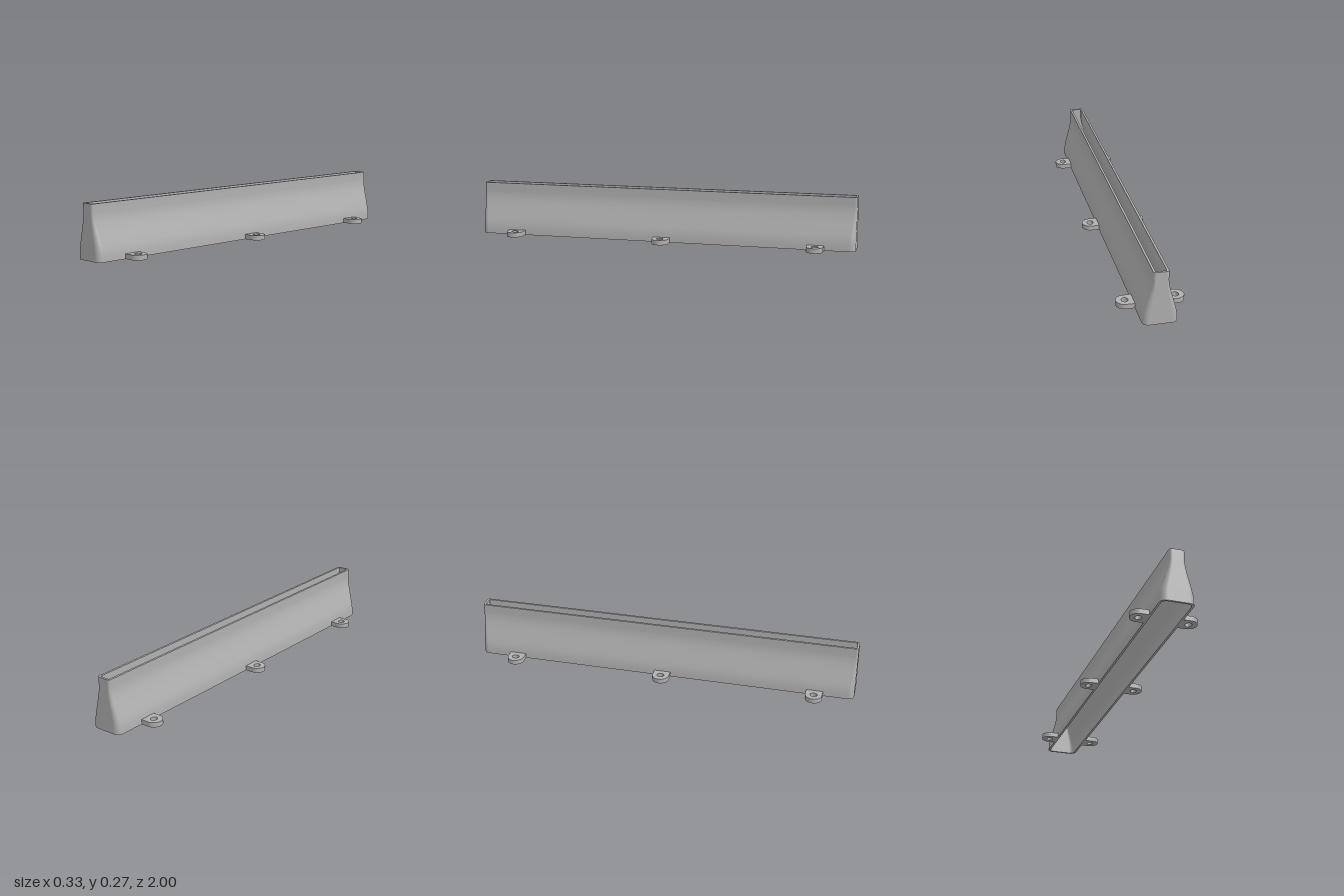
import * as THREE from 'three';

const WALL = 0.011;
const HEIGHT = 0.27;

// Half width of the duct at each height
const profile = new THREE.SplineCurve([
  [0.083, 0], [0.0815, 0.03], [0.077, 0.06], [0.066, 0.1], [0.051, 0.15],
  [0.042, 0.185], [0.038, 0.21], [0.037, 0.23], [0.037, HEIGHT],
].map(([x, y]) => new THREE.Vector2(x, y)));

// One horizontal rounded-rectangle section
function ring(halfWidth, y, inset) {
  const radius = 0.012 + 0.018 * (halfWidth - 0.037) / 0.046 - inset * 0.7;
  const cx = halfWidth - inset - radius;
  const cz = 1 - inset - radius;
  const points = [];
  [[1, 1], [-1, 1], [-1, -1], [1, -1]].forEach(([sx, sz], corner) => {
    for (let i = 0; i <= 6; i++) {
      const a = (corner + i / 6) * Math.PI / 2;
      points.push([sx * cx + radius * Math.cos(a), y, sz * cz + radius * Math.sin(a)]);
    }
  });
  return points;
}

// Skin a series of closed sections
function loft(rings) {
  const n = rings[0].length;
  const index = [];
  for (let j = 0; j < rings.length - 1; j++) {
    for (let i = 0; i < n; i++) {
      const a = j * n + i, b = j * n + (i + 1) % n;
      index.push(a, a + n, b, b, a + n, b + n);
    }
  }
  const geometry = new THREE.BufferGeometry();
  geometry.setAttribute('position', new THREE.Float32BufferAttribute(rings.flat(2), 3));
  geometry.setIndex(index);
  geometry.computeVertexNormals();
  return geometry;
}

export function createModel() {
  const model = new THREE.Group();
  model.name = 'slotDuct';
  const grey = new THREE.MeshStandardMaterial({ color: 0xb0b0b0 });
  grey.name = 'grey';

  const add = (name, geometry) => {
    const mesh = new THREE.Mesh(geometry, grey);
    mesh.name = name;
    model.add(mesh);
    return mesh;
  };

  // Hollow flared body, open at top and bottom
  const sections = profile.getPoints(32);
  const outer = sections.map(p => ring(p.x, p.y, 0));
  const inner = sections.map(p => ring(p.x, p.y, WALL)).reverse();
  add('outerWall', loft(outer));
  add('innerWall', loft(inner));
  add('topRim', loft([outer.at(-1), inner[0]]));
  add('bottomRim', loft([inner.at(-1), outer[0]]));

  // Rounded mounting tab with a screw hole
  const tab = new THREE.Shape();
  tab.moveTo(0.076, -0.043);
  tab.lineTo(0.122, -0.043);
  tab.absarc(0.122, 0, 0.043, -Math.PI / 2, Math.PI / 2, false);
  tab.lineTo(0.076, 0.043);
  tab.closePath();
  const hole = new THREE.Path();
  hole.absellipse(0.122, 0, 0.016, 0.019, 0, Math.PI * 2, true);
  tab.holes.push(hole);
  const tabGeometry = new THREE.ExtrudeGeometry(tab, { depth: 0.025, bevelEnabled: false, curveSegments: 24 });
  tabGeometry.rotateX(-Math.PI / 2);

  for (const z of [-0.8, 0, 0.8]) {
    add('leftTab', tabGeometry).position.z = z;
    const right = add('rightTab', tabGeometry);
    right.position.z = z;
    right.rotation.y = Math.PI;
  }
  return model;
}
